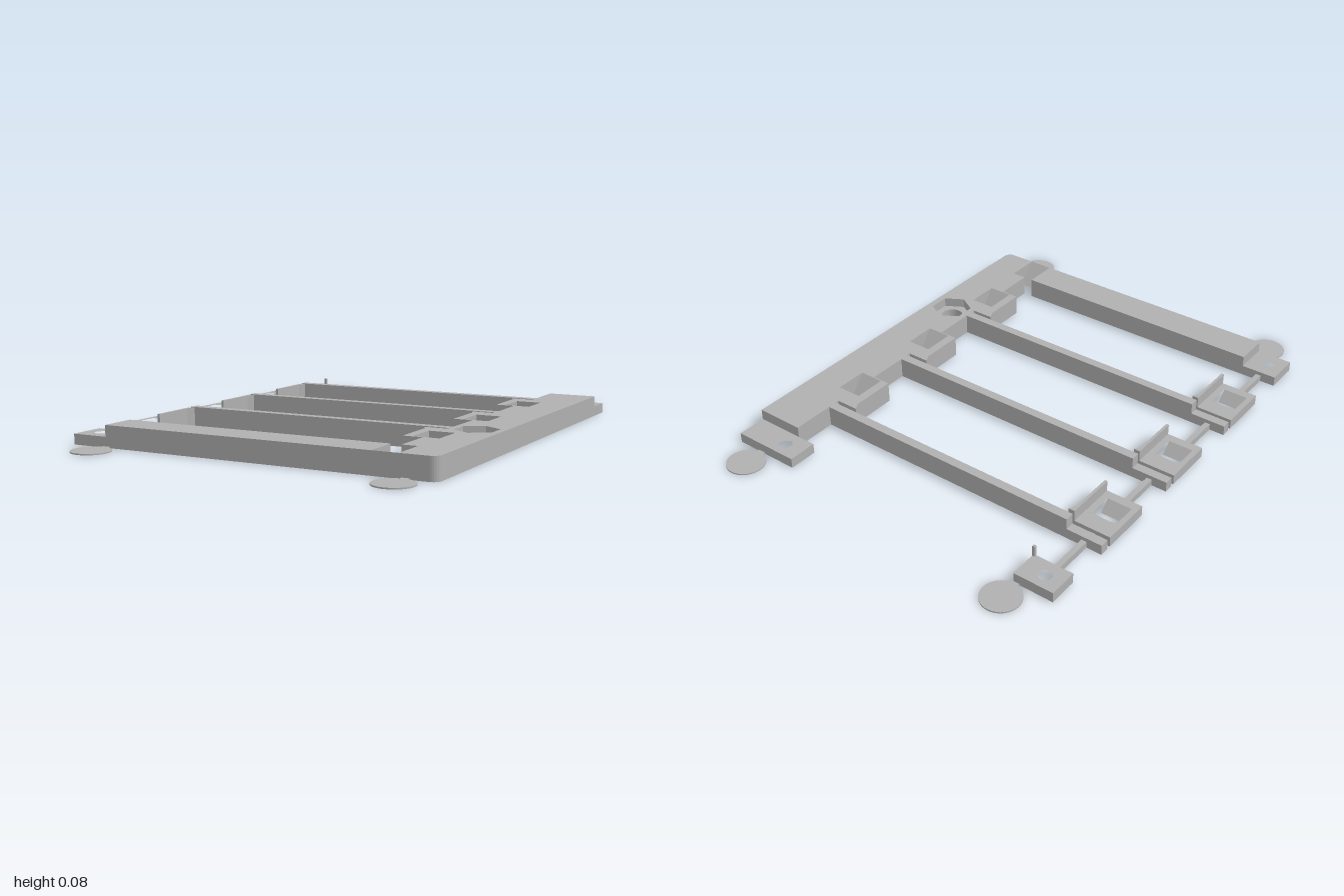
import * as THREE from 'three';

const HIGH = 0.083, LOW = 0.04;

export function createModel() {
  const model = new THREE.Group();
  model.name = 'clipFrame';
  const grey = new THREE.MeshStandardMaterial({ color: 0xb0b0b0 });
  grey.name = 'plainGrey';

  const add = (name, geometry) => {
    const mesh = new THREE.Mesh(geometry, grey);
    mesh.name = name;
    model.add(mesh);
    return mesh;
  };
  // box given by its limits, standing between y0 and y1
  const box = (name, x0, x1, z0, z1, y1, y0 = 0) => {
    const g = new THREE.BoxGeometry(x1 - x0, y1 - y0, z1 - z0);
    g.translate((x0 + x1) / 2, (y0 + y1) / 2, (z0 + z1) / 2);
    return add(name, g);
  };
  const toPoints = (list) => list.map(([x, z]) => new THREE.Vector2(x, -z));
  const rect = (x0, x1, z0, z1) => [[x0, z0], [x1, z0], [x1, z1], [x0, z1]];
  const ring = (x, z, r, n) => Array.from({ length: n }, (_, i) => {
    const a = (i / n) * Math.PI * 2 + Math.PI / 2;
    return [x + r * Math.cos(a), z + r * Math.sin(a)];
  });
  // plan outline with holes, extruded upwards from y0 to y1
  const slab = (name, outline, holes, y0, y1) => {
    const shape = new THREE.Shape(toPoints(outline));
    holes.forEach((h) => shape.holes.push(new THREE.Path(toPoints(h))));
    const g = new THREE.ExtrudeGeometry(shape, { depth: y1 - y0, bevelEnabled: false });
    g.rotateX(-Math.PI / 2).translate(0, y0, 0);
    return add(name, g);
  };
  // ramp rising towards +z
  const ramp = (name, x0, x1, z0, z1, h) => {
    const shape = new THREE.Shape([
      new THREE.Vector2(z0, 0), new THREE.Vector2(z1, 0), new THREE.Vector2(z1, h)]);
    const g = new THREE.ExtrudeGeometry(shape, { depth: x1 - x0, bevelEnabled: false });
    g.rotateY(-Math.PI / 2).translate(x1, 0, 0);
    return add(name, g);
  };

  const clipStarts = [-0.51, -0.09, 0.335];

  // side beam with clip sockets along its inner edge
  const outline = [[0.53, -0.73]];
  const pockets = [];
  clipStarts.forEach((z) => {
    outline.push([0.53, z], [0.44, z], [0.455, z + 0.03], [0.455, z + 0.205], [0.53, z + 0.205]);
    pockets.push(rect(0.49, 0.59, z + 0.07, z + 0.2));
    ramp('socketRamp', 0.49, 0.59, z + 0.13, z + 0.2, HIGH);
  });
  outline.push([0.53, 0.70], [0.59, 0.70], [0.59, 0.84]);
  for (let i = 0; i <= 6; i++) {
    const a = (i / 6) * Math.PI / 2;
    outline.push([0.695 + 0.03 * Math.sin(a), 0.81 + 0.03 * Math.cos(a)]);
  }
  outline.push([0.725, -0.73]);
  slab('beamBase', outline, [...pockets, ring(0.627, 0.3, 0.045, 32)], 0, 0.045);
  slab('beamTopWithHexRecess', outline, [...pockets, ring(0.627, 0.3, 0.083, 6)], 0.045, HIGH);

  // front bar and its end ramp
  box('frontBar', -0.585, 0.49, 0.70, 0.84, HIGH);
  ramp('frontRamp', 0.49, 0.59, 0.76, 0.84, HIGH);

  // corner blocks with counterbored holes
  const cornerBlock = (x0, x1, z0, z1, hx, hz) => {
    slab('cornerBlockBase', rect(x0, x1, z0, z1), [ring(hx, hz, 0.045, 28)], 0, 0.02);
    slab('cornerBlockTop', rect(x0, x1, z0, z1), [ring(hx, hz, 0.026, 28)], 0.02, LOW);
  };
  cornerBlock(-0.73, -0.57, -0.845, -0.73, -0.66, -0.79);
  cornerBlock(0.455, 0.725, -0.845, -0.73, 0.54, -0.79);
  cornerBlock(-0.73, -0.585, 0.70, 0.84, -0.66, 0.77);
  box('cornerPost', -0.58, -0.57, -0.74, -0.73, HIGH, LOW);

  // cross bars, clip blocks and their thin walls
  clipStarts.forEach((z) => {
    box('crossBar', -0.585, 0.53, z - 0.052, z - 0.016, HIGH);
    box('crossBarEnd', -0.73, -0.585, z - 0.052, z - 0.016, LOW);
    slab('clipBlock', rect(-0.73, -0.58, z, z + 0.205),
      [rect(-0.708, -0.608, z + 0.07, z + 0.17)], 0, LOW);
    ramp('clipRamp', -0.708, -0.608, z + 0.13, z + 0.17, LOW);
    slab('clipWall', [[-0.582, z], [-0.557, z], [-0.571, z + 0.03],
      [-0.571, z + 0.205], [-0.582, z + 0.205]], [], 0, HIGH);
  });

  // slim rail linking the clip blocks
  const railStops = [-0.73];
  clipStarts.forEach((z) => railStops.push(z - 0.052, z - 0.016, z, z + 0.205));
  railStops.push(0.70);
  for (let i = 0; i < railStops.length; i += 2) {
    box('linkRail', -0.669, -0.647, railStops[i], railStops[i + 1], 0.025);
  }

  // thin round feet at the corners, each with a small tab
  for (const x of [-0.58, 0.615]) {
    for (const [z, edge] of [[-0.926, -0.845], [0.926, 0.84]]) {
      const g = new THREE.CylinderGeometry(0.074, 0.074, 0.005, 40);
      add('cornerPad', g).position.set(x, 0.0025, z);
      const inner = z - Math.sign(z) * 0.07;
      box('padTab', x - 0.015, x + 0.015, Math.min(edge, inner), Math.max(edge, inner), 0.005);
    }
  }
  return model;
}
